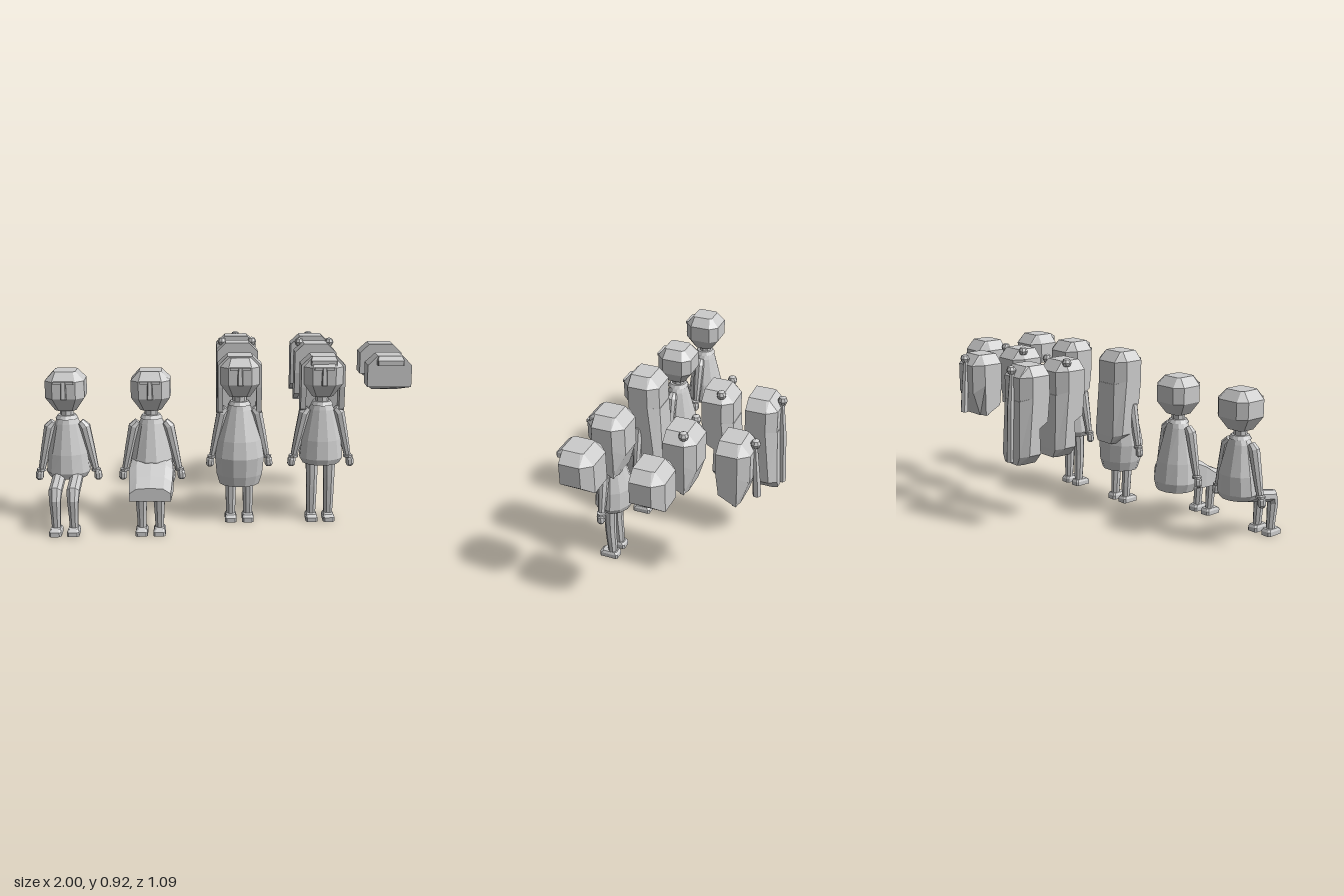
import * as THREE from 'three';

const material = new THREE.MeshStandardMaterial({ color: 0xcccccc, flatShading: true, side: THREE.DoubleSide });

function add(parent, geometry, name, x = 0, y = 0, z = 0) {
  const mesh = new THREE.Mesh(geometry, material);
  mesh.name = name;
  mesh.position.set(x, y, z);
  parent.add(mesh);
  return mesh;
}

// Skins a list of convex rings and closes both ends
function loft(rings) {
  const n = rings[0].length, last = (rings.length - 1) * n, index = [];
  for (let i = 0; i < last; i += n) {
    for (let j = 0; j < n; j++) {
      const k = (j + 1) % n;
      index.push(i + j, i + k, i + n + k, i + j, i + n + k, i + n + j);
    }
  }
  for (let j = 1; j < n - 1; j++) index.push(0, j + 1, j, last, last + j, last + j + 1);
  const g = new THREE.BufferGeometry();
  g.setAttribute('position', new THREE.Float32BufferAttribute(rings.flat(2), 3));
  g.setIndex(index);
  const flat = g.toNonIndexed();
  flat.computeVertexNormals();
  return flat;
}

// Mirrors a half ring (running front to back on +x) into a full ring
const mirror = (half) => [...half, ...half.slice().reverse().map(([x, y, z]) => [-x, y, z])];
const octagon = (w, y, front, back, c) =>
  mirror([[w - c, y, front], [w, y, front - c], [w, y, back + c], [w - c, y, back]]);

const ellipse = (y, w, front, back, sides = 12) => Array.from({ length: sides }, (_, i) => {
  const a = (i + 0.5) / sides * Math.PI * 2;
  return [w * Math.sin(a), y, (front + back) / 2 + (front - back) / 2 * Math.cos(a)];
});

// Faceted limb through points [x, y, z, radius]; side is one cross axis
function limb(points, side, sides = 8) {
  const u = new THREE.Vector3(...side);
  return loft(points.map(([x, y, z, r], i) => {
    const a = points[Math.max(0, i - 1)], b = points[Math.min(points.length - 1, i + 1)];
    const t = new THREE.Vector3(b[0] - a[0], b[1] - a[1], b[2] - a[2]).normalize();
    const v = t.cross(u).normalize();
    return Array.from({ length: sides }, (_, j) => {
      const q = (j + 0.5) / sides * Math.PI * 2;
      return new THREE.Vector3(x, y, z).addScaledVector(u, r * Math.cos(q)).addScaledVector(v, r * Math.sin(q)).toArray();
    });
  }));
}

const BODY_Z = 0.265;

// Dress profiles, hem upwards: height, half width, front z, back z
const dresses = {
  shortSeated: [[0.25, 0.1, 0.355, 0.175], [0.28, 0.118, 0.365, 0.165], [0.38, 0.107, 0.355, 0.165],
    [0.54, 0.068, 0.32, 0.205], [0.575, 0.05, 0.31, 0.215]],
  longSeated: [[0.19, 0.11, 0.36, 0.15], [0.24, 0.128, 0.375, 0.14], [0.35, 0.112, 0.375, 0.155],
    [0.54, 0.068, 0.32, 0.205], [0.575, 0.05, 0.31, 0.215]],
  long: [[0.205, 0.108, 0.36, 0.165], [0.26, 0.125, 0.375, 0.15], [0.36, 0.135, 0.388, 0.15], [0.45, 0.118, 0.37, 0.16],
    [0.61, 0.068, 0.32, 0.205], [0.645, 0.05, 0.31, 0.215]],
  short: [[0.32, 0.1, 0.355, 0.175], [0.35, 0.118, 0.365, 0.165], [0.45, 0.107, 0.355, 0.165],
    [0.61, 0.068, 0.32, 0.205], [0.645, 0.05, 0.31, 0.215]],
};

function makeFigure(name, x, dress, seated) {
  const figure = new THREE.Group();
  figure.name = name;
  figure.position.x = x;

  // Upper body is modelled at standing height and lowered when seated
  const upper = new THREE.Group();
  upper.name = 'upperBody';
  upper.position.y = seated ? -0.07 : 0;
  figure.add(upper);
  add(upper, loft([
    octagon(0.055, 0.685, 0.32, 0.21, 0.02), octagon(0.102, 0.755, 0.362, 0.16, 0.042),
    octagon(0.102, 0.845, 0.362, 0.16, 0.042), octagon(0.058, 0.893, 0.325, 0.205, 0.012),
  ]), 'head');
  add(upper, new THREE.BoxGeometry(0.104, 0.014, 0.02), 'brow', 0, 0.842, 0.362);
  add(upper, loft([
    octagon(0.015, 0.757, 0.385, 0.35, 0.004), octagon(0.012, 0.845, 0.374, 0.35, 0.004),
  ]), 'nose');
  add(upper, new THREE.CylinderGeometry(0.036, 0.036, 0.09, 8), 'neck', 0, 0.665, BODY_Z);
  add(upper, new THREE.CylinderGeometry(0.048, 0.06, 0.02, 12), 'collar', 0, 0.645, BODY_Z);
  for (const s of [-1, 1]) {
    add(upper, limb([[s * 0.142, 0.36, 0.27, 0.019], [s * 0.118, 0.47, 0.27, 0.026],
      [s * 0.092, 0.59, 0.27, 0.031], [s * 0.07, 0.615, 0.27, 0.022]], [0, 0, 1]), 'arm');
    add(upper, limb([[s * 0.157, 0.298, 0.27, 0.014], [s * 0.157, 0.31, 0.27, 0.022],
      [s * 0.155, 0.335, 0.27, 0.022], [s * 0.147, 0.352, 0.27, 0.014]], [0, 0, 1]), 'hand');
    add(upper, new THREE.CylinderGeometry(0.025, 0.025, 0.012, 8), 'cuff', s * 0.146, 0.352, 0.27);
  }

  add(figure, loft(dresses[dress].map((p) => ellipse(...p))), 'dress');
  if (dress === 'longSeated') {
    // Skirt draped forward over the knees
    add(figure, loft([[0.25, 0.1, 0.2, 0.4], [0.38, 0.116, 0.195, 0.34], [0.45, 0.112, 0.19, 0.295], [0.535, 0.107, 0.187, 0.258]]
      .map(([z, w, low, high]) => [[w, low, z], [w, high - 0.03, z], [w * 0.65, high - 0.005, z], [0, high, z],
        [-w * 0.65, high - 0.005, z], [-w, high - 0.03, z], [-w, low, z]])), 'skirt');
  }

  // Legs and shoes
  const path = seated
    ? [[0.02, 0.483, 0.023], [0.1, 0.488, 0.026], [0.18, 0.494, 0.031], [0.222, 0.478, 0.036], [0.232, 0.42, 0.035], [0.27, 0.25, 0.036]]
    : [[0.02, 0.267, 0.024], [0.1, 0.27, 0.028], [0.19, 0.274, 0.03], [0.25, 0.272, 0.032], [0.38, 0.265, 0.036]];
  const toe = seated ? 0.545 : 0.335;
  for (const s of [-1, 1]) {
    add(figure, limb(path.map(([y, z, r]) => [s * 0.046, y, z, r]), [1, 0, 0]), 'leg');
    add(figure, loft([
      octagon(0.031, 0, toe, toe - 0.104, 0.009), octagon(0.031, 0.023, toe, toe - 0.104, 0.009),
      octagon(0.025, 0.036, toe - 0.016, toe - 0.096, 0.009),
    ]), 'shoe', s * 0.046);
  }
  return figure;
}

// Hair ring: sides and back may sit at different heights
const hairRing = (w, ySide, front, mid, wBack, yBack, back) =>
  mirror([[w, ySide, front], [w, ySide, mid], [wBack, yBack, back]]);

function makeHair(name, x, z, { length = 'cap', fringe = false, buns = false, tail = false }) {
  const hair = new THREE.Group();
  hair.name = name;
  hair.position.set(x, 0, z);
  add(hair, loft([
    hairRing(0.115, 0.735, 0.315, 0.205, 0.065, 0.69, 0.155),
    hairRing(0.115, 0.85, 0.315, 0.205, 0.065, 0.845, 0.155),
    hairRing(0.065, 0.9, 0.315, 0.22, 0.06, 0.9, 0.205),
  ]), 'hairCap');
  if (fringe) {
    add(hair, loft([octagon(0.068, 0.853, 0.348, 0.29, 0.004), octagon(0.068, 0.88, 0.348, 0.29, 0.004),
      octagon(0.06, 0.9, 0.322, 0.29, 0.004)]), 'fringe');
  }
  if (length === 'shoulder') {
    add(hair, loft([
      hairRing(0.112, 0.567, 0.225, 0.212, 0.065, 0.562, 0.198),
      hairRing(0.115, 0.74, 0.24, 0.205, 0.065, 0.7, 0.155),
    ]), 'backHair');
  }
  if (length === 'long') {
    add(hair, loft([
      hairRing(0.065, 0.375, 0.25, 0.17, 0.055, 0.375, 0.138),
      hairRing(0.115, 0.43, 0.25, 0.175, 0.075, 0.42, 0.138),
      hairRing(0.115, 0.74, 0.24, 0.205, 0.065, 0.72, 0.153),
    ]), 'backHair');
  }
  if (length !== 'cap') {
    // Side locks framing the face
    const low = length === 'long' ? 0.6 : 0.615;
    for (const s of [-1, 1]) {
      const ring = (y, yBack, front) => [[0.014, y, front], [0.014, yBack, 0.205], [-0.014, yBack, 0.205], [-0.014, y, front]];
      add(hair, loft([ring(low, low - 0.05, 0.3), ring(0.74, 0.74, 0.315)]), 'sideLock', s * 0.101);
    }
  }
  const ball = () => new THREE.SphereGeometry(0.026, 8, 4);
  if (buns) for (const s of [-1, 1]) add(hair, ball(), 'bun', s * 0.084, 0.894, 0.216);
  if (tail) {
    add(hair, ball(), 'tailKnot', 0, 0.88, 0.152);
    const [low, zLow] = length === 'long' ? [0.385, 0.133] : [0.58, 0.136];
    add(hair, limb([[0, low, zLow, 0.022], [0, 0.68, 0.142, 0.02], [0, 0.86, 0.155, 0.014]], [1, 0, 0], 6), 'ponytail');
  }
  return hair;
}

export function createModel() {
  const model = new THREE.Group();
  model.name = 'figuresAndHairstyles';
  const xLong = 0.086, xShort = 0.521;
  model.add(
    makeFigure('seatedFigureShortDress', -0.825, 'shortSeated', true),
    makeFigure('seatedFigureLongDress', -0.38, 'longSeated', true),
    makeFigure('standingFigureLongDress', xLong, 'long', false),
    makeFigure('standingFigureShortDress', xShort, 'short', false),
    makeHair('longHair', xLong, 0, { length: 'long' }),
    makeHair('shoulderHair', xShort, 0, { length: 'shoulder', fringe: true }),
    makeHair('shortHairFringe', 0.866, 0, { fringe: true }),
    makeHair('shortHair', 0.882, -0.37, {}),
    makeHair('longHairBuns', xLong, -0.42, { length: 'long', buns: true }),
    makeHair('shoulderHairBuns', xShort, -0.385, { length: 'shoulder', buns: true }),
    makeHair('longHairPonytail', xLong, -0.66, { length: 'long', tail: true }),
    makeHair('shoulderHairPonytail', xShort, -0.66, { length: 'shoulder', tail: true }),
  );
  return model;
}
